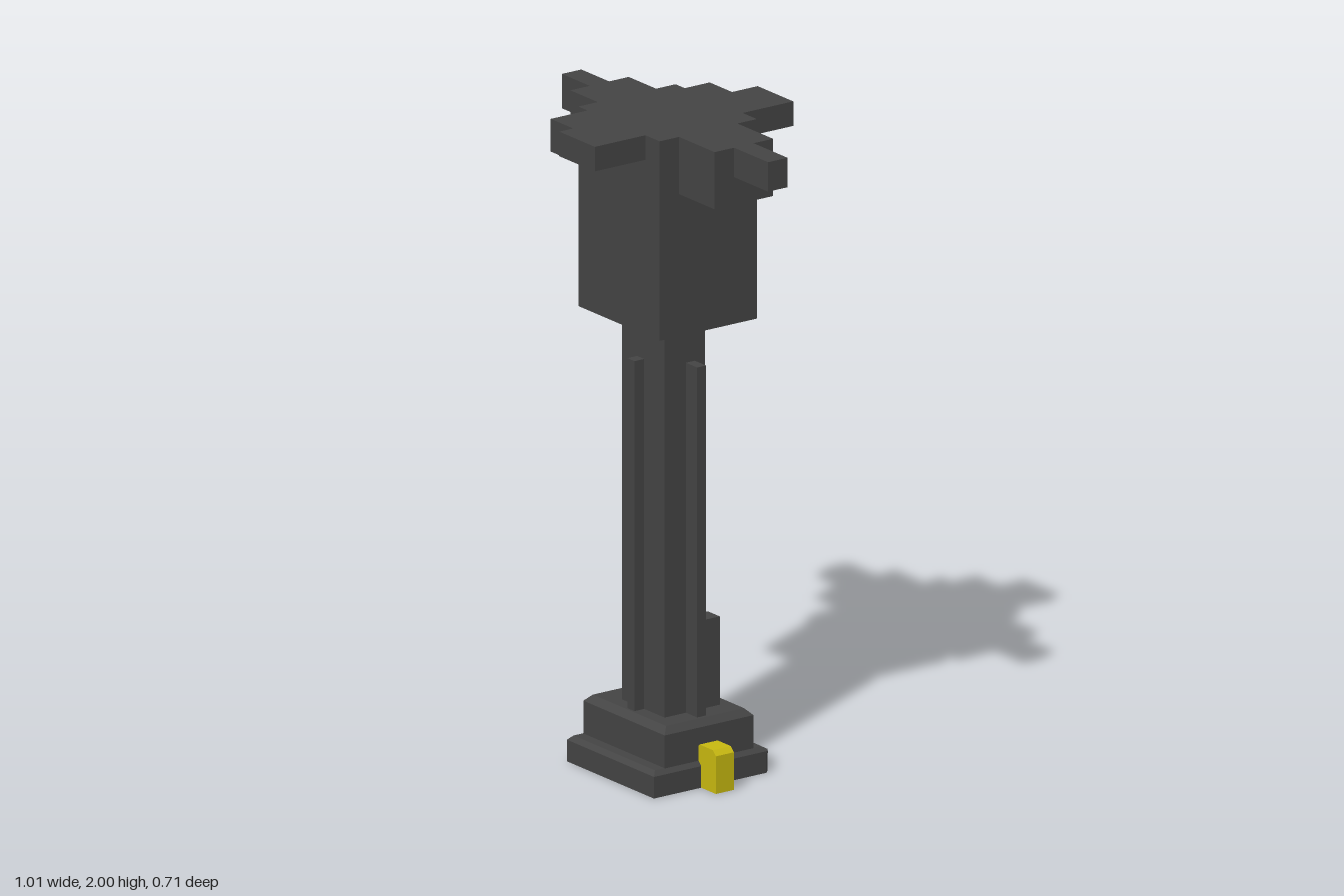
import * as THREE from 'three';

export function createModel() {
  const model = new THREE.Group();
  const dark = new THREE.MeshStandardMaterial({ color: 0x444444, flatShading: true });
  const yellow = new THREE.MeshStandardMaterial({ color: 0xc8b910, flatShading: true });

  function add(name, geometry, material = dark) {
    const mesh = new THREE.Mesh(geometry, material);
    mesh.name = name;
    model.add(mesh);
    return mesh;
  }

  // Box given by its limits on each axis
  function box(name, x0, x1, y0, y1, z0, z1, material) {
    const g = new THREE.BoxGeometry(x1 - x0, y1 - y0, z1 - z0);
    g.translate((x0 + x1) / 2, (y0 + y1) / 2, (z0 + z1) / 2);
    return add(name, g, material);
  }

  // Box whose top edges are chamfered inwards by c
  function chamferedTier(name, x0, x1, y0, y1, z0, z1, c) {
    box(name, x0, x1, y0, y1 - c, z0, z1);
    const g = new THREE.BoxGeometry(x1 - x0, c, z1 - z0);
    const p = g.attributes.position;
    for (let i = 0; i < p.count; i++) {
      if (p.getY(i) > 0) {
        p.setX(i, p.getX(i) - Math.sign(p.getX(i)) * c);
        p.setZ(i, p.getZ(i) - Math.sign(p.getZ(i)) * c);
      }
    }
    g.translate((x0 + x1) / 2, y1 - c / 2, (z0 + z1) / 2);
    add(name + 'Chamfer', g);
  }

  // Base: open foot frame with clipped back corners, then the plinth above it
  const foot = new THREE.Shape([
    [-0.25, -0.205], [0.178, -0.205], [0.178, 0.2], [0.16, 0.217], [-0.232, 0.217], [-0.25, 0.2],
  ].map(([x, y]) => new THREE.Vector2(x, y)));
  foot.holes.push(new THREE.Path([
    [-0.19, -0.15], [-0.19, 0.16], [0.12, 0.16], [0.12, -0.15],
  ].map(([x, y]) => new THREE.Vector2(x, y))));
  const footGeometry = new THREE.ExtrudeGeometry(foot, { depth: 0.065, bevelEnabled: false });
  footGeometry.rotateX(-Math.PI / 2);
  add('footFrame', footGeometry);
  chamferedTier('footLedge', -0.25, 0.178, 0.06, 0.08, -0.205, 0.205, 0.014);
  chamferedTier('plinth', -0.235, 0.165, 0.07, 0.2, -0.163, 0.157, 0.02);

  // Yellow side lugs with clipped upper corners
  for (const [name, inner, side] of [['leftLug', 0.155, 1], ['rightLug', -0.225, -1]]) {
    const w = 0.095, c = 0.015;
    const s = new THREE.Shape([
      [0, 0], [w, 0], [w, 0.13 - c], [w - c, 0.13], [c, 0.13], [0, 0.13 - c],
    ].map(([x, y]) => new THREE.Vector2(inner + side * x, y)));
    const g = new THREE.ExtrudeGeometry(s, { depth: 0.065, bevelEnabled: false });
    g.translate(0, 0, -0.03);
    add(name, g, yellow);
  }

  // Column with one narrow rib on each face
  box('column', -0.13, 0.08, 0.19, 1.4, -0.05, 0.095);
  box('frontRib', -0.055, -0.02, 0.19, 1.27, 0.09, 0.13);
  box('backRib', -0.055, -0.02, 0.19, 1.27, -0.11, -0.04);
  box('leftRib', 0.07, 0.135, 0.19, 1.27, -0.014, 0.018);
  const rightRib = box('rightRib', -0.185, -0.12, 0.19, 1.27, -0.014, 0.018);
  const p = rightRib.geometry.attributes.position;
  for (let i = 0; i < p.count; i++) {
    if (p.getX(i) < -0.15 && p.getY(i) < 0.5) p.setX(i, -0.2);
  }
  box('backBlock', 0.02, 0.078, 0.19, 0.47, -0.105, -0.045);

  // Head block and its stepped arms
  box('head', -0.235, 0.165, 1.39, 2, -0.175, 0.175);
  box('sideArms', -0.37, 0.34, 1.825, 2, -0.105, 0.105);
  box('leftArmTip', 0.33, 0.507, 1.91, 2, -0.035, 0.035);
  box('rightArmTip', -0.507, -0.36, 1.895, 2, -0.035, 0.035);
  box('offsetCrossArm', -0.19, -0.01, 1.9, 2, -0.265, 0.307);
  box('crossArm', -0.08, 0.095, 1.925, 2, -0.357, 0.357);

  return model;
}
